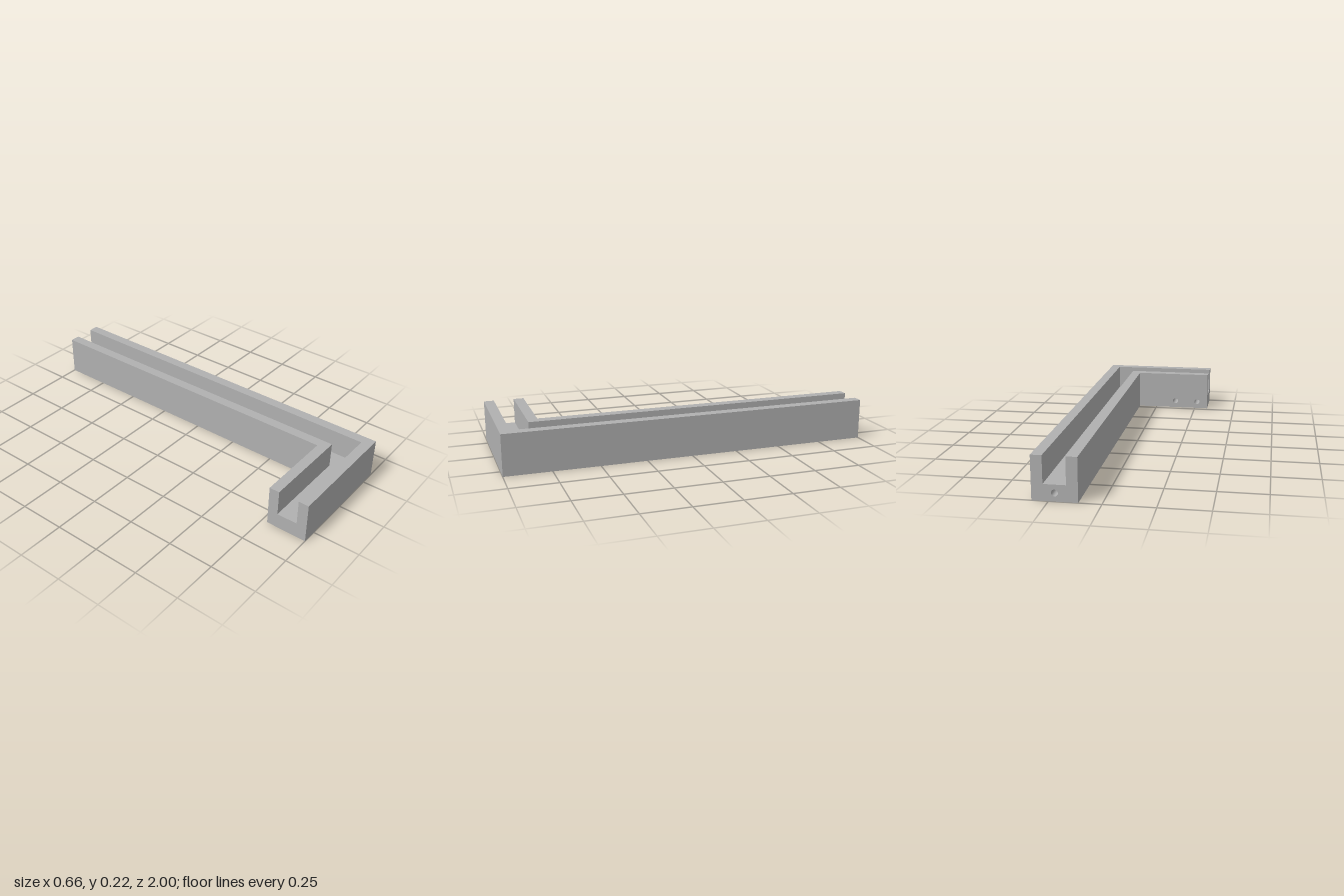
import * as THREE from 'three';

const W = 0.11;        // half width of the channel section
const G = 0.055;       // half width of the groove
const H = 0.22;        // height
const FLOOR = 0.0825;  // groove floor height
const HOLE_R = 0.0165, HOLE_Y = 0.042, HOLE_DEPTH = 0.11;

// U-shaped section, counter-clockwise: offset from centre line, height
const SECTION = [[-W, 0], [W, 0], [W, H], [G, H], [G, FLOOR], [-G, FLOOR], [-G, H], [-W, H]];

// Path stations: back end, mitred corner, short-arm end
const STATIONS = [
  (u) => [0.22 + u, -1],
  (u) => [0.22 + u, 0.89 + u],
  (u) => [-0.33, 0.89 + u],
];

// Sweep one arm; edges listed in skip are left open
function armGeometry(from, to, skip = -1) {
  const pos = [];
  const at = (station, [u, y]) => {
    const [x, z] = station(u);
    return [x, y, z];
  };
  SECTION.forEach((p, i) => {
    if (i === skip) return;
    const q = SECTION[(i + 1) % SECTION.length];
    const pa = at(from, p), qa = at(from, q), pb = at(to, p), qb = at(to, q);
    pos.push(...pa, ...qa, ...qb, ...pa, ...qb, ...pb);
  });
  const g = new THREE.BufferGeometry();
  g.setAttribute('position', new THREE.Float32BufferAttribute(pos, 3));
  g.computeVertexNormals();
  return g;
}

// Flat face from an outline, with round holes at the given x positions
function faceGeometry(points, holes = []) {
  const shape = new THREE.Shape(points.map(([x, y]) => new THREE.Vector2(x, y)));
  for (const x of holes) {
    const h = new THREE.Path();
    h.absarc(x, HOLE_Y, HOLE_R, 0, Math.PI * 2, true);
    shape.holes.push(h);
  }
  return new THREE.ShapeGeometry(shape, 12);
}

export function createModel() {
  const model = new THREE.Group();
  model.name = 'cornerChannel';
  const grey = new THREE.MeshStandardMaterial({ color: 0xb0b0b0 });
  grey.name = 'grey';
  const boreGrey = new THREE.MeshStandardMaterial({ color: 0xb0b0b0, side: THREE.BackSide });
  boreGrey.name = 'grey inside bore';

  const add = (name, geometry, x = 0, y = 0, z = 0, ry = 0, material = grey) => {
    const m = new THREE.Mesh(geometry, material);
    m.name = name;
    m.position.set(x, y, z);
    m.rotation.y = ry;
    model.add(m);
  };

  // Two channel arms meeting at the mitre
  add('longArm', armGeometry(STATIONS[0], STATIONS[1]));
  add('shortArm', armGeometry(STATIONS[1], STATIONS[2], 7));

  // End faces and the drilled mounting face
  add('backEnd', faceGeometry(SECTION, [0]), 0.22, 0, -1, Math.PI);
  add('sideEnd', faceGeometry(SECTION), -0.33, 0, 0.89, -Math.PI / 2);
  const mountHoles = [0.234, 0.374];
  add('mountingFace', faceGeometry([[0, 0], [0.44, 0], [0.44, H], [0, H]], mountHoles),
    0.11, 0, 0.78, Math.PI);

  // Blind screw holes, drilled towards +z
  const bore = new THREE.CylinderGeometry(HOLE_R, HOLE_R, HOLE_DEPTH, 24, 1, true).rotateX(Math.PI / 2);
  const bottom = new THREE.CircleGeometry(HOLE_R, 24);
  const holes = [[0.22, -1], ...mountHoles.map((x) => [0.11 - x, 0.78])];
  for (const [x, z] of holes) {
    add('screwHole', bore, x, HOLE_Y, z + HOLE_DEPTH / 2, 0, boreGrey);
    add('screwHoleBottom', bottom, x, HOLE_Y, z + HOLE_DEPTH, Math.PI);
  }
  return model;
}
